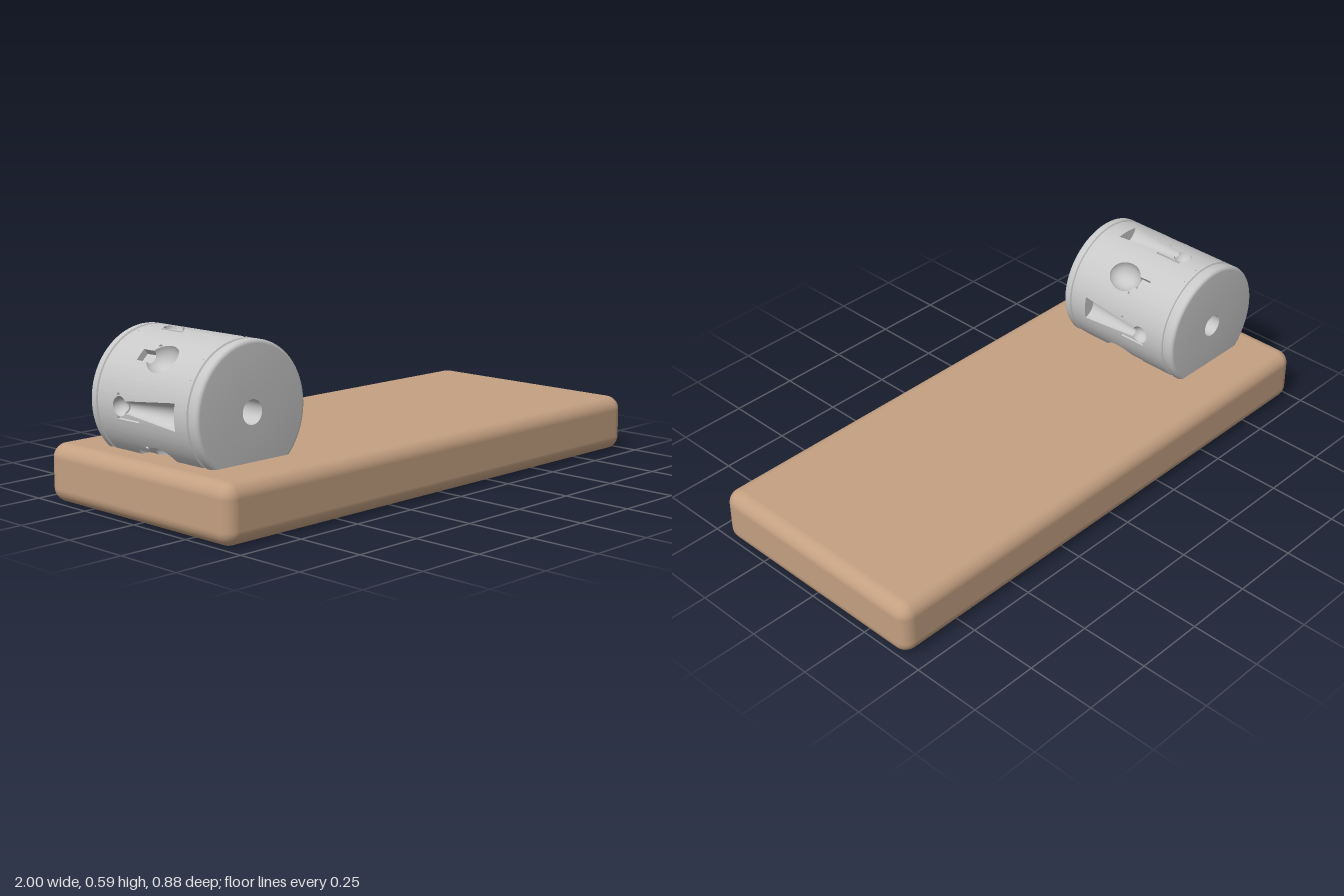
import * as THREE from 'three';
import { toCreasedNormals } from 'three/addons/utils/BufferGeometryUtils.js';
import { RoundedBoxGeometry } from 'three/addons/geometries/RoundedBoxGeometry.js';

const R = 0.23;         // roller radius
const HALF = 0.262;     // roller half length
const PANEL = 0.2;      // half length of the engraved band
const ARC = R * Math.PI / 8; // half width of one engraved patch
const E = 0.0003;       // thickness of a vertical wall

// Creases are found on an enlarged copy so that fine details stay separate.
function creased(geometry, angle) {
  geometry.scale(100, 100, 100);
  const g = toCreasedNormals(geometry, angle);
  g.scale(0.01, 0.01, 0.01);
  return g;
}

// Each motif gives its half width, recess depth and side slots along z.
const figure = {
  breaks: [-PANEL, -0.143, -0.125, -0.08, -0.02, 0.155, PANEL],
  width: z => z > 0.155 ? 0.045
    : z > -0.08 ? 0.02 + 0.025 * (z + 0.08) / 0.235
    : Math.sqrt(Math.max(0, 0.033 ** 2 - (z + 0.11) ** 2)),
  depth: (z, w, c) => z > 0.155 || z < -0.143 ? 0 : w * c,
  slot: { t: [0.034, 0.043], z: [-0.125, -0.02], depth: 0.01, sides: [-1, 1] }
};
const drop = {
  breaks: [-PANEL, -0.083, -0.033, -0.018, 0.09, PANEL],
  width: z => z < -0.033 ? 0.022
    : 0.054 * Math.sqrt(Math.max(0, 1 - ((z - 0.025) / 0.065) ** 2)),
  depth: (z, w, c) => z < -0.083 ? 0 : z < -0.033 ? 0.022 : 0.9 * w * c,
  slot: { t: [0.043, 0.052], z: [-0.033, -0.018], depth: 0.008, sides: [-1] }
};

// One row across a patch: [tangential offset, depth] from -ARC to ARC.
function patchRow(motif, z) {
  const w = motif.width(z), { slot } = motif, [s0, s1] = slot.t;
  const side = sign => {
    const cut = z > slot.z[0] && z < slot.z[1] && slot.sides.includes(sign) ? slot.depth : 0;
    const steps = [[0, 0], [0.012, 0], [0.023, 0], [s0, 0], [s0 + E, cut], [s1 - E, cut],
      [s1, 0], [0.06, 0], [0.07, 0], [0.08, 0], [ARC, 0]];
    return steps.map(([t, d]) => [sign * Math.max(w, t), d]);
  };
  const inner = [];
  for (let k = -10; k <= 10; k++) {
    const a = k / 10 * Math.PI / 2;
    inner.push([w * Math.sin(a), motif.depth(z, w, Math.cos(a))]);
  }
  return [...side(-1).reverse(), ...inner, ...side(1)];
}

// Engraved eighth of the roller wall, centred on +x.
function patchGeometry(motif) {
  const rows = [];
  for (let i = 0; i + 1 < motif.breaks.length; i++) {
    const last = motif.breaks.length - 2;
    const a = motif.breaks[i] + (i ? E : 0), b = motif.breaks[i + 1] - (i < last ? E : 0);
    for (let k = 0; k <= 14; k++) {
      rows.push(a + (b - a) * (1 - Math.cos(Math.PI * k / 14)) / 2);
    }
  }
  const positions = [], index = [];
  let cols = 0;
  rows.forEach(z => {
    const row = patchRow(motif, z);
    cols = row.length;
    for (const [t, d] of row) {
      positions.push((R - d) * Math.cos(t / R), (R - d) * Math.sin(t / R), z);
    }
  });
  for (let j = 0; j + 1 < rows.length; j++) {
    for (let i = 0; i + 1 < cols; i++) {
      const a = j * cols + i, b = a + 1, c = a + cols, d = c + 1;
      index.push(a, b, c, b, d, c);
    }
  }
  const g = new THREE.BufferGeometry();
  g.setAttribute('position', new THREE.Float32BufferAttribute(positions, 3));
  g.setIndex(index);
  return creased(g, 0.6);
}

// Roller end: grooved rim, rounded edge, flat face and half the bore.
function endGeometry() {
  const p = [[R, PANEL], [R, 0.214], [0.2245, 0.2165], [0.2235, 0.222], [0.2245, 0.2275], [R, 0.23]];
  const round = 0.014;
  for (let k = 0; k <= 6; k++) {
    const a = k / 6 * Math.PI / 2;
    p.push([R - round + round * Math.cos(a), HALF - round + round * Math.sin(a)]);
  }
  p.push([0.041, HALF], [0.041, 0]);
  const g = new THREE.LatheGeometry(p.map(([x, y]) => new THREE.Vector2(x, y)), 96);
  g.rotateX(Math.PI / 2);
  return creased(g, 0.5);
}

export function createModel() {
  const clay = new THREE.MeshStandardMaterial({ color: 0xc4a081 });
  clay.name = 'tan clay';
  const stone = new THREE.MeshStandardMaterial({ color: 0xc8c8c8 });
  stone.name = 'grey stone';

  const model = new THREE.Group();
  model.name = 'rollerOnSlab';
  const add = (parent, name, geometry, material) => {
    const mesh = new THREE.Mesh(geometry, material);
    mesh.name = name;
    parent.add(mesh);
    return mesh;
  };

  // Slab
  add(model, 'slab', new RoundedBoxGeometry(2, 0.2, 0.885, 6, 0.05), clay).position.y = 0.1;

  // Engraved roller, partly sunk into the slab
  const roller = new THREE.Group();
  roller.name = 'roller';
  roller.position.set(-0.727, 0.36, 0);
  model.add(roller);

  const end = endGeometry();
  add(roller, 'frontEnd', end, stone);
  add(roller, 'backEnd', end, stone).rotation.y = Math.PI;

  // Figures and drops alternate around the wall
  const patches = [patchGeometry(figure), patchGeometry(drop)];
  for (let i = 0; i < 8; i++) {
    add(roller, i % 2 ? 'dropEngraving' : 'figureEngraving', patches[i % 2], stone)
      .rotation.z = i * Math.PI / 4;
  }
  return model;
}
